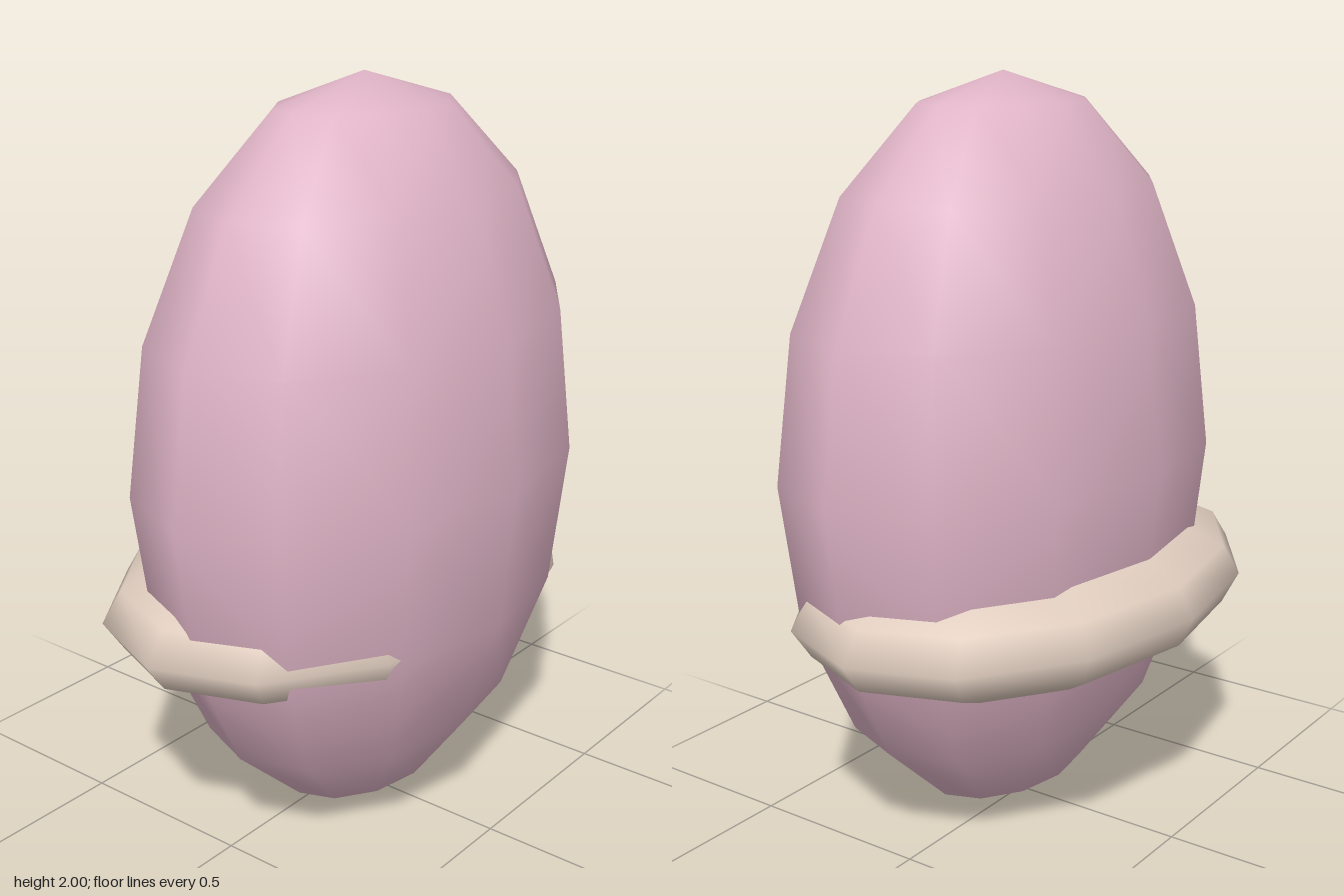
import * as THREE from 'three';

export function createModel() {
  const model = new THREE.Group();
  const pink = new THREE.MeshStandardMaterial({ color: 0xdfb4c6 });
  pink.name = 'pink';
  const beige = new THREE.MeshStandardMaterial({ color: 0xdfccbe });
  beige.name = 'beige';

  // Smooth low-poly ellipsoid with given radii and centre
  function ellipsoid(name, material, radii, centre) {
    const geometry = new THREE.SphereGeometry(1, 12, 8);
    geometry.scale(...radii);
    const mesh = new THREE.Mesh(geometry, material);
    mesh.name = name;
    mesh.position.set(...centre);
    model.add(mesh);
  }

  // Tall egg-shaped body
  ellipsoid('body', pink, [0.725, 1, 0.488], [0, 1, 0.054]);
  // Flattened disc set back inside the body, showing as a band around the rear
  ellipsoid('rearBand', beige, [0.76, 0.212, 0.525], [0, 0.636, -0.02]);

  return model;
}
